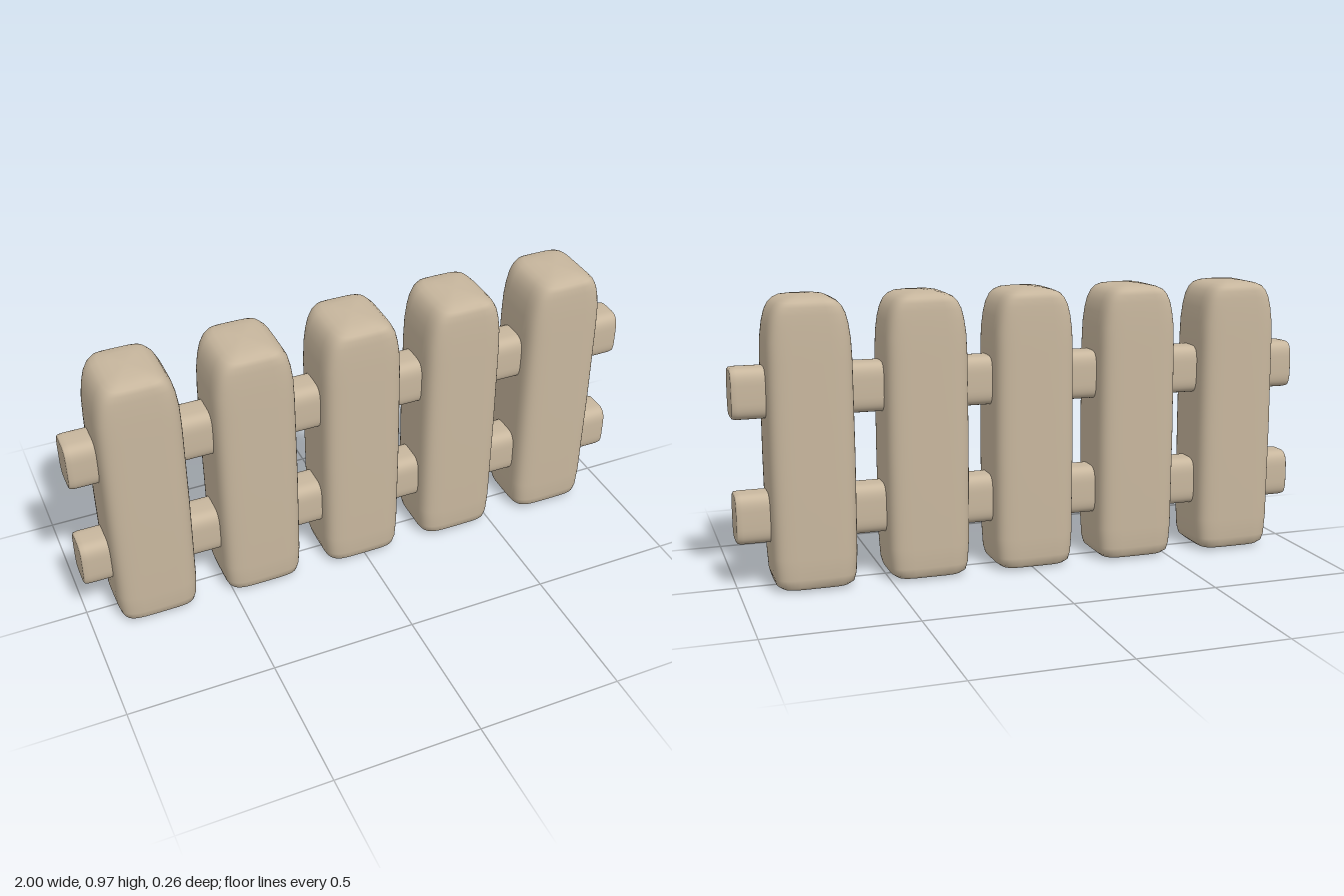
import * as THREE from 'three';

const SEGMENTS = 48;

// Smooth closed loft along y through superellipse rings [y, halfX, halfZ];
// the first and last rings shrink to a point.
function loft(rings, power) {
  const pos = [], index = [];
  const bend = (v) => Math.sign(v) * Math.pow(Math.abs(v), 2 / power);
  for (const [y, hx, hz] of rings) {
    for (let i = 0; i < SEGMENTS; i++) {
      const a = (i / SEGMENTS) * Math.PI * 2;
      pos.push(hx * bend(Math.cos(a)), y, hz * bend(Math.sin(a)));
    }
  }
  for (let r = 0; r < rings.length - 1; r++) {
    for (let i = 0; i < SEGMENTS; i++) {
      const j = (i + 1) % SEGMENTS;
      const a = r * SEGMENTS + i, b = r * SEGMENTS + j;
      const c = a + SEGMENTS, d = b + SEGMENTS;
      if (r > 0) index.push(a, c, b);
      if (r < rings.length - 2) index.push(b, c, d);
      else index.push(a, c, b);
    }
  }
  const geo = new THREE.BufferGeometry();
  geo.setAttribute('position', new THREE.Float32BufferAttribute(pos, 3));
  // bottom fan needs its own triangles, as its first ring is a point
  for (let i = 0; i < SEGMENTS; i++) {
    index.push(i, SEGMENTS + i, SEGMENTS + ((i + 1) % SEGMENTS));
  }
  geo.setIndex(index);
  geo.computeVertexNormals();
  // point rings face straight along the axis
  const n = geo.attributes.normal, last = (rings.length - 1) * SEGMENTS;
  for (let i = 0; i < SEGMENTS; i++) {
    n.setXYZ(i, 0, -1, 0);
    n.setXYZ(last + i, 0, 1, 0);
  }
  return geo;
}

export function createModel() {
  const fence = new THREE.Group();
  fence.name = 'fence';
  const wood = new THREE.MeshStandardMaterial({ color: 0xc8b79e });
  wood.name = 'pale wood';

  // Pickets: small rounding at the foot, broad shoulders and a crowned top
  const picketGeo = loft([
    [0.005, 0, 0], [0.007, 0.08, 0.075], [0.012, 0.115, 0.108],
    [0.024, 0.13, 0.122], [0.05, 0.137, 0.127], [0.12, 0.141, 0.13],
    [0.45, 0.143, 0.131], [0.76, 0.141, 0.131], [0.83, 0.138, 0.131],
    [0.88, 0.131, 0.13], [0.915, 0.122, 0.129], [0.94, 0.109, 0.127],
    [0.955, 0.094, 0.122], [0.964, 0.075, 0.108], [0.97, 0.045, 0.07],
    [0.975, 0, 0],
  ], 5);
  [-0.763, -0.382, -0.007, 0.365, 0.75].forEach((x, i) => {
    const picket = new THREE.Mesh(picketGeo, wood);
    picket.name = `picket${i + 1}`;
    picket.position.set(x, 0, -0.002);
    fence.add(picket);
  });

  // Rails: rounded bars with flat, slightly softened ends
  const railGeo = loft([
    [-1, 0, 0], [-1, 0.076, 0.058], [-0.996, 0.082, 0.064], [-0.98, 0.084, 0.066],
    [0.98, 0.084, 0.066], [0.996, 0.082, 0.064], [1, 0.076, 0.058], [1, 0, 0],
  ], 4);
  railGeo.rotateZ(-Math.PI / 2);
  for (const [name, y, tilt] of [['lowerRail', 0.25, -0.004], ['upperRail', 0.66, 0]]) {
    const rail = new THREE.Mesh(railGeo, wood);
    rail.name = name;
    rail.position.y = y;
    rail.rotation.z = tilt;
    fence.add(rail);
  }
  return fence;
}
